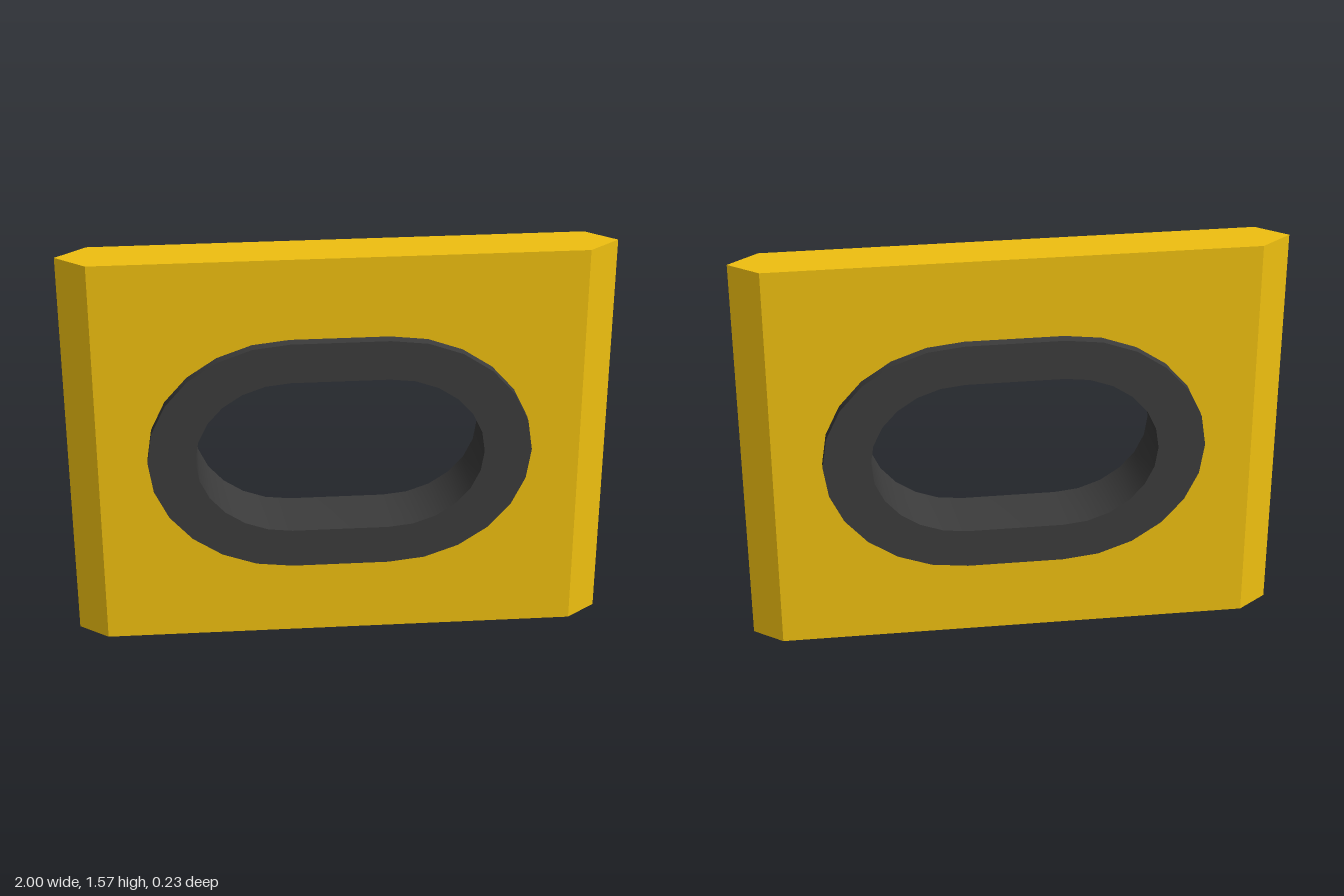
import * as THREE from 'three';
import { toCreasedNormals } from 'three/addons/utils/BufferGeometryUtils.js';

const HEIGHT = 1.57;
const CY = HEIGHT / 2;

// Oval outline: two half ellipses (12 steps each) joined by straight runs
function ovalPoints(rx, ry, offset = 0.18) {
  const points = [];
  for (const side of [1, -1]) {
    for (let i = 0; i <= 12; i++) {
      const a = (-0.5 + i / 12) * Math.PI;
      points.push(new THREE.Vector2(side * (offset + rx * Math.cos(a)), CY + side * ry * Math.sin(a)));
    }
  }
  return points;
}

// Extrude a shape centred on z = 0
function extrude(shape, depth, steps) {
  return new THREE.ExtrudeGeometry(shape, { depth, steps, bevelEnabled: false }).translate(0, 0, -depth / 2);
}

function createPlate() {
  const w = 0.89;
  const shape = new THREE.Shape([
    new THREE.Vector2(-w, 0), new THREE.Vector2(w, 0),
    new THREE.Vector2(w, HEIGHT), new THREE.Vector2(-w, HEIGHT),
  ]);
  shape.holes.push(new THREE.Path(ovalPoints(0.44, 0.39)));
  const geometry = extrude(shape, 0.158, 2);

  // Pull the middle layer outwards so both ends come to a wedge
  const pos = geometry.attributes.position;
  for (let i = 0; i < pos.count; i++) {
    if (Math.abs(pos.getZ(i)) < 0.001 && Math.abs(pos.getX(i)) > w - 0.001) {
      pos.setX(i, Math.sign(pos.getX(i)));
    }
  }
  geometry.computeVertexNormals();
  const plate = new THREE.Mesh(geometry, new THREE.MeshStandardMaterial({ color: 0xf0c010 }));
  plate.name = 'wedgeEndedPlate';
  return plate;
}

function createRing() {
  const shape = new THREE.Shape(ovalPoints(0.527, 0.47));
  shape.holes.push(new THREE.Path(ovalPoints(0.352, 0.314)));
  const geometry = toCreasedNormals(extrude(shape, 0.232, 1), 0.6);
  const ring = new THREE.Mesh(geometry, new THREE.MeshStandardMaterial({ color: 0x3c3c3c }));
  ring.name = 'ovalRing';
  return ring;
}

export function createModel() {
  const model = new THREE.Group();
  model.name = 'plateWithOvalRing';
  model.add(createPlate(), createRing());
  return model;
}
